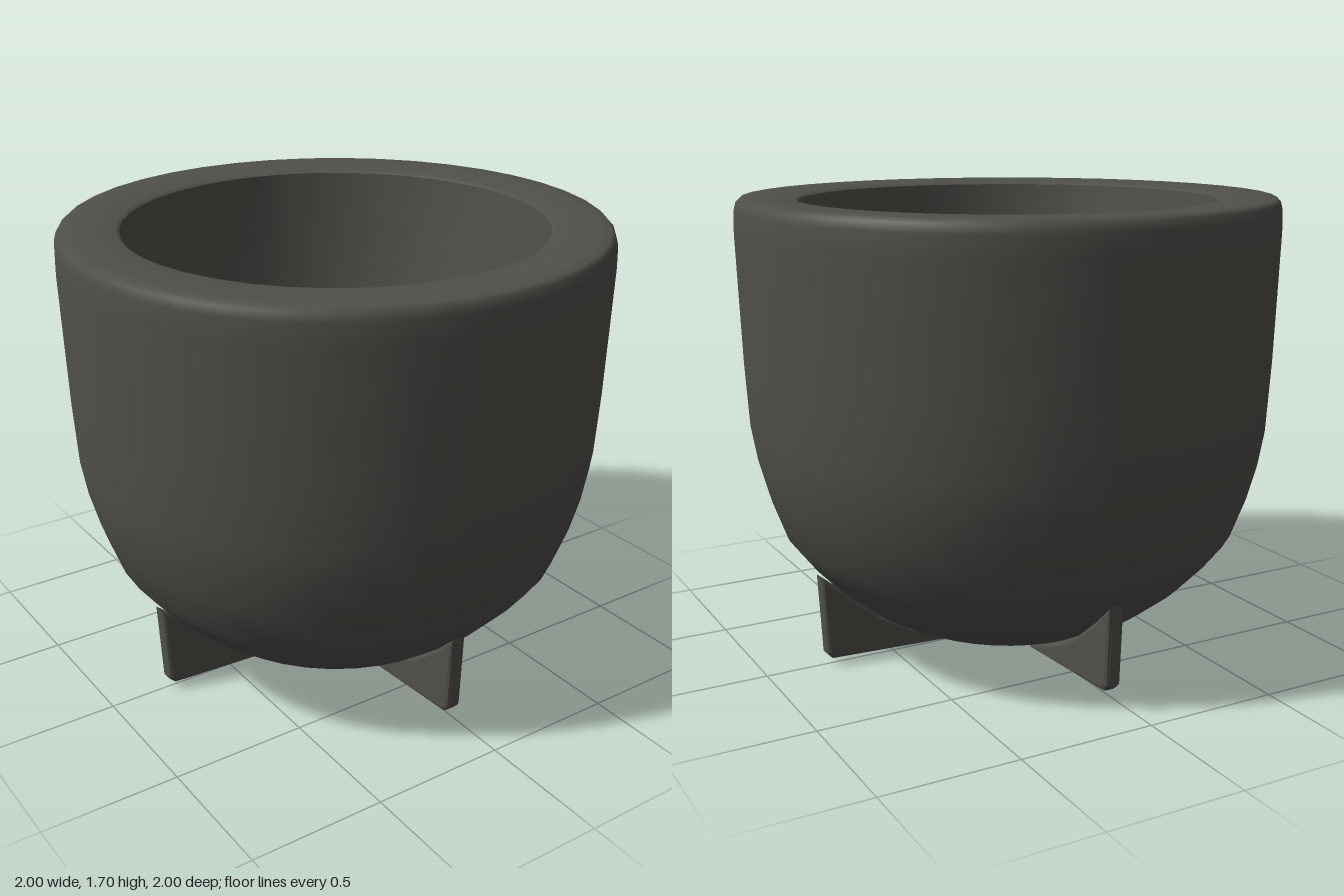
import * as THREE from 'three';

// Double-sided because the thin bowl is also seen from inside
const iron = new THREE.MeshStandardMaterial({ color: 0x50504b, side: THREE.DoubleSide });
iron.name = 'dark iron';

function lathe(name, pts) {
  const geo = new THREE.LatheGeometry(pts.map(([r, y]) => new THREE.Vector2(r, y)), 40);
  const mesh = new THREE.Mesh(geo, iron);
  mesh.name = name;
  return mesh;
}

// Upright fin in the x-y plane, widening towards the cup's centre line
function fin(reach) {
  const bevel = 0.015, thickness = 0.06;
  const shape = new THREE.Shape([
    [0.28, 0.033], [reach - 0.05, 0.045], [reach - 0.035, 0.06],
    [reach - 0.015, 0.335], [0.7, 0.262], [0.58, 0.164], [0.45, 0.094],
  ].map(([x, y]) => new THREE.Vector2(x, y)));
  const geo = new THREE.ExtrudeGeometry(shape, {
    depth: thickness - 2 * bevel, bevelEnabled: true,
    bevelThickness: bevel, bevelSize: bevel, bevelSegments: 2,
  });
  geo.translate(0, 0, -(thickness - 2 * bevel) / 2);
  const pos = geo.attributes.position;
  for (let i = 0; i < pos.count; i++) {
    pos.setZ(i, pos.getZ(i) * (1 + 1.5 * (1 - pos.getX(i) / reach)));
  }
  geo.computeVertexNormals();
  return new THREE.Mesh(geo, iron);
}

export function createModel() {
  const model = new THREE.Group();
  model.name = 'finnedCup';

  // Rounded outer bowl running over into the thick flat rim
  model.add(lathe('outerBowlAndRim', [
    [0, 0.005], [0.13, 0.015], [0.3, 0.05], [0.45, 0.11], [0.58, 0.18], [0.7, 0.275],
    [0.79, 0.37], [0.86, 0.46], [0.915, 0.61], [0.95, 0.74], [0.972, 0.87],
    [0.985, 1.1], [0.993, 1.35], [1, 1.58], [0.998, 1.66], [0.99, 1.69], [0.975, 1.705],
    [0.93, 1.705], [0.87, 1.705], [0.785, 1.7], [0.77, 1.69],
  ]));

  // Tapered inner collar, open at the bottom above the bowl
  model.add(lathe('innerCollar', [
    [0.77, 1.69], [0.75, 1.4], [0.715, 1.1], [0.67, 0.88], [0.62, 0.7],
  ]));

  // Four fins crossing under the bowl
  ['leftFin', 'backFin', 'rightFin', 'frontFin'].forEach((name, i) => {
    const foot = fin(i % 2 ? 0.785 : 0.795);
    foot.name = name;
    foot.rotation.y = i * Math.PI / 2;
    model.add(foot);
  });

  return model;
}
